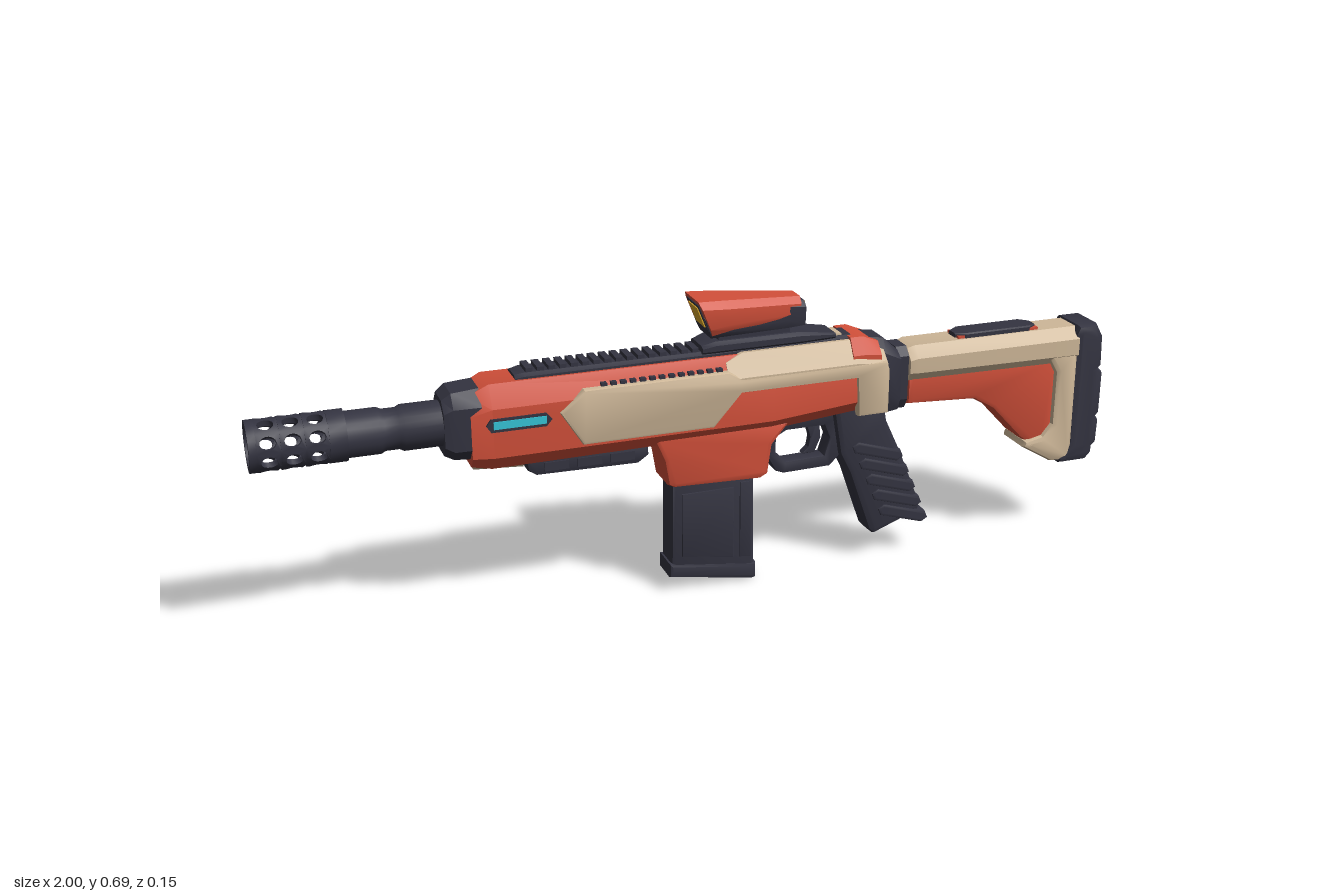
import * as THREE from 'three';
import { toCreasedNormals, mergeGeometries } from 'three/addons/utils/BufferGeometryUtils.js';

const paint = (name, color) => Object.assign(new THREE.MeshStandardMaterial({ color }), { name });

export function createModel() {
  const model = new THREE.Group();
  model.name = 'toyBlaster';
  const orange = paint('orange', 0xd2503a);
  const beige = paint('beige', 0xcfb899);
  const dark = paint('charcoal', 0x343441);
  const cyan = paint('cyan', 0x35c3d6);
  const yellow = paint('amber', 0xdba92c);

  const add = (name, geo, mat, x = 0, y = 0, z = 0) => {
    const mesh = new THREE.Mesh(geo, mat);
    mesh.name = name;
    mesh.position.set(x, y, z);
    model.add(mesh);
    return mesh;
  };
  const box = (name, mat, x0, x1, y0, y1, halfZ, z = 0) =>
    add(name, new THREE.BoxGeometry(x1 - x0, y1 - y0, halfZ * 2), mat, (x0 + x1) / 2, (y0 + y1) / 2, z);

  // Side outline given thickness in z, with chamfered edges and optional hole
  const plate = (name, mat, outline, halfZ, bevel, z = 0, hole) => {
    const toV = (p) => new THREE.Vector2(p[0], p[1]);
    const shape = new THREE.Shape(outline.map(toV));
    if (hole) shape.holes.push(new THREE.Path(hole.map(toV)));
    const geo = new THREE.ExtrudeGeometry(shape, {
      depth: 2 * (halfZ - bevel), bevelEnabled: bevel > 0, bevelThickness: bevel,
      bevelSize: bevel, bevelOffset: -bevel, bevelSegments: 2,
    });
    geo.translate(0, 0, bevel - halfZ);
    return add(name, toCreasedNormals(geo, 0.6), mat, 0, 0, z);
  };

  // Eight-sided sections along x: [x, top, shoulder, low, bottom, topW, midW, bottomW, lean]
  const loft = (name, mat, stations) => {
    const pos = [], idx = [];
    for (const [x, t, s, l, b, wt, wm, wb, lean = 0] of stations) {
      const half = [[wt, t], [wm, s], [wm, l], [wb, b]];
      const ring = [...half, ...half.map(([z, y]) => [-z, y]).reverse()];
      ring.forEach(([z, y]) => pos.push(x - lean * (y - b), y, z));
    }
    const last = (stations.length - 1) * 8;
    for (let i = 0; i < last; i += 8) {
      for (let j = 0; j < 8; j++) {
        const a = i + j, b = i + (j + 1) % 8;
        idx.push(a, b, b + 8, a, b + 8, a + 8);
      }
    }
    for (let j = 1; j < 7; j++) idx.push(0, j + 1, j, last, last + j, last + j + 1);
    const geo = new THREE.BufferGeometry();
    geo.setAttribute('position', new THREE.Float32BufferAttribute(pos, 3));
    geo.setIndex(idx);
    return add(name, toCreasedNormals(geo, 0.5), mat);
  };

  // Turned part along x from [radius, x] points
  const turned = (name, points) => {
    const geo = new THREE.LatheGeometry(points.map((p) => new THREE.Vector2(p[0], p[1])), 24);
    geo.rotateZ(-Math.PI / 2);
    return add(name, toCreasedNormals(geo, 0.6), dark, 0, 0.47, 0);
  };
  const ring = (name, x0, x1, ro, ri) => turned(name, [[ri, x0], [ro, x0], [ro, x1], [ri, x1], [ri, x0]]);

  // Barrel and perforated muzzle
  turned('barrel', [[0, -0.82], [0.05, -0.82], [0.05, -0.73], [0.045, -0.72], [0.045, -0.69],
    [0.05, -0.68], [0.05, -0.5], [0, -0.5]]);
  ring('muzzleLip', -1, -0.983, 0.056, 0.042);
  ring('muzzleBase', -0.837, -0.8, 0.056, 0.042);
  const cells = [], R = 0.056, wall = 0.013, hv = R * Math.PI / 8;
  for (let i = 0; i < 3; i++) {
    for (let k = 0; k < 8; k++) {
      const shape = new THREE.Shape([[-0.025, -hv], [0.025, -hv], [0.0255, 0], [0.025, hv], [-0.025, hv], [-0.0255, 0]]
        .map((p) => new THREE.Vector2(p[0], p[1])));
      shape.holes.push(new THREE.Path(new THREE.EllipseCurve(0, 0, 0.017, 0.0145).getPoints(14)));
      const geo = new THREE.ExtrudeGeometry(shape, { depth: wall, bevelEnabled: false });
      const p = geo.attributes.position;
      for (let n = 0; n < p.count; n++) {
        const a = (k + 0.5) * Math.PI / 4 + p.getY(n) / R, r = R - wall + p.getZ(n);
        p.setXYZ(n, -0.96 + i * 0.05 + p.getX(n), r * Math.cos(a), -r * Math.sin(a));
      }
      cells.push(geo);
    }
  }
  add('muzzleVents', toCreasedNormals(mergeGeometries(cells), 0.7), dark, 0, 0.47, 0);

  // Main body
  loft('frontCollar', dark, [
    [-0.6, 0.53, 0.505, 0.43, 0.405, 0.03, 0.052, 0.03],
    [-0.58, 0.545, 0.515, 0.42, 0.395, 0.035, 0.058, 0.035],
    [-0.52, 0.55, 0.515, 0.42, 0.39, 0.035, 0.06, 0.035]]);
  loft('bodyShell', orange, [
    [-0.545, 0.535, 0.495, 0.4, 0.375, 0.038, 0.06, 0.04],
    [-0.5, 0.558, 0.51, 0.4, 0.366, 0.042, 0.07, 0.042],
    [0.14, 0.558, 0.51, 0.4, 0.37, 0.042, 0.068, 0.042],
    [0.36, 0.558, 0.51, 0.42, 0.39, 0.042, 0.068, 0.042],
    [0.4, 0.55, 0.505, 0.42, 0.39, 0.04, 0.066, 0.042]]);
  loft('chinBlock', beige, [
    [-0.54, 0.385, 0.383, 0.375, 0.366, 0.03, 0.04, 0.032],
    [-0.43, 0.385, 0.383, 0.37, 0.358, 0.03, 0.04, 0.032]]);
  loft('upperCover', beige, [
    [0.03, 0.545, 0.511, 0.49, 0.48, 0.05, 0.073, 0.06],
    [0.07, 0.562, 0.513, 0.49, 0.48, 0.045, 0.074, 0.06],
    [0.34, 0.562, 0.513, 0.49, 0.48, 0.045, 0.074, 0.06],
    [0.415, 0.53, 0.505, 0.49, 0.48, 0.045, 0.072, 0.06]]);
  loft('rearBand', orange, [
    [0.33, 0.568, 0.53, 0.52, 0.5, 0.047, 0.068, 0.05],
    [0.36, 0.568, 0.53, 0.52, 0.5, 0.047, 0.068, 0.05],
    [0.4, 0.552, 0.525, 0.51, 0.5, 0.045, 0.068, 0.05]]);
  loft('rearBlock', dark, [
    [0.36, 0.562, 0.53, 0.42, 0.375, 0.03, 0.046, 0.035],
    [0.42, 0.553, 0.52, 0.42, 0.37, 0.03, 0.05, 0.035],
    [0.462, 0.515, 0.5, 0.4, 0.375, 0.03, 0.045, 0.035]]);
  loft('stockJoint', dark, [
    [0.455, 0.525, 0.505, 0.4, 0.375, 0.025, 0.042, 0.028],
    [0.482, 0.525, 0.505, 0.4, 0.375, 0.025, 0.042, 0.028]]);

  for (const s of [1, -1]) {
    plate('sidePanel', beige, [[-0.355, 0.485], [-0.3, 0.53], [0.03, 0.53], [0.06, 0.511], [0.412, 0.511],
      [0.42, 0.49], [0.42, 0.385], [0.345, 0.385], [0.34, 0.478], [0.06, 0.478], [-0.005, 0.405], [-0.305, 0.405]],
    0.014, 0.007, s * 0.062);
    plate('lightFrame', dark, [[-0.515, 0.475], [-0.505, 0.49], [-0.385, 0.49], [-0.372, 0.475], [-0.385, 0.46],
      [-0.505, 0.46]], 0.003, 0, s * 0.07);
    box('lightStrip', cyan, -0.5, -0.385, 0.467, 0.484, 0.0025, s * 0.073);
    // Slatted vent above each side panel
    for (let i = 0; i < 13; i++) {
      const x = -0.26 + i * 0.022;
      box('ventSlat', dark, x, x + 0.013, 0.531, 0.538, 0.006, s * 0.059);
    }
  }

  // Top and bottom rails
  loft('topRail', dark, [
    [-0.44, 0.565, 0.56, 0.55, 0.545, 0.022, 0.034, 0.034],
    [-0.42, 0.569, 0.563, 0.55, 0.545, 0.026, 0.036, 0.036],
    [0.34, 0.569, 0.563, 0.55, 0.545, 0.026, 0.036, 0.036]]);
  for (let i = 0; i < 17; i++) box('railTooth', dark, -0.415 + i * 0.025, -0.4 + i * 0.025, 0.566, 0.578, 0.026);
  plate('lowerRail', dark, [[-0.425, 0.375], [-0.42, 0.345], [-0.4, 0.332], [-0.17, 0.328], [-0.145, 0.345],
    [-0.145, 0.375]], 0.036, 0.008);
  for (let i = 0; i < 3; i++) {
    box('lowerRailPad', dark, -0.385 + i * 0.075, -0.33 + i * 0.075, 0.342, 0.362, 0.04);
  }

  // Magazine and its well
  plate('magazineWell', orange, [[-0.14, 0.39], [-0.115, 0.33], [-0.105, 0.27], [-0.09, 0.262], [0.115, 0.255],
    [0.135, 0.265], [0.145, 0.335], [0.19, 0.39]], 0.052, 0.012);
  plate('magazine', dark, [[-0.092, 0.3], [0.105, 0.3], [0.108, 0.02], [-0.095, 0.05]], 0.037, 0.01);
  plate('magazineBase', dark, [[-0.1, 0.07], [0.112, 0.04], [0.112, 0.003], [0.1, 0], [-0.1, 0.036]], 0.04, 0.008);
  for (const s of [1, -1]) {
    plate('magazineRib', dark, [[-0.07, 0.24], [0.055, 0.24], [0.055, 0.065], [-0.07, 0.085]], 0.004, 0.002, s * 0.037);
    plate('magazineEdge', dark, [[0.07, 0.25], [0.098, 0.25], [0.098, 0.06], [0.07, 0.063]], 0.004, 0.002, s * 0.037);
  }

  // Trigger group and grip
  plate('triggerGuard', dark, [[0.14, 0.4], [0.14, 0.3], [0.165, 0.256], [0.185, 0.248], [0.3, 0.25], [0.33, 0.28],
    [0.38, 0.4]], 0.022, 0.005, 0,
  [[0.165, 0.34], [0.19, 0.353], [0.285, 0.353], [0.298, 0.32], [0.285, 0.278], [0.19, 0.276], [0.165, 0.3]]);
  plate('trigger', dark, [[0.24, 0.37], [0.275, 0.37], [0.28, 0.32], [0.265, 0.285], [0.235, 0.285], [0.25, 0.3],
    [0.254, 0.325]], 0.01, 0.002);
  plate('grip', dark, [[0.3, 0.4], [0.43, 0.4], [0.44, 0.345], [0.48, 0.26], [0.535, 0.125], [0.53, 0.105],
    [0.415, 0.062], [0.4, 0.075], [0.345, 0.23], [0.32, 0.28]], 0.036, 0.014);
  for (let i = 0; i < 5; i++) {
    const t = i * 0.042, x = 0.417 + t * 0.43, y = 0.275 - t;
    const rib = plate('gripRib', dark, [[-0.072, 0], [-0.06, 0.015], [0.055, 0.015], [0.068, 0], [0.055, -0.015],
      [-0.06, -0.015]], 0.04, 0.007);
    rib.position.set(x, y, 0);
    rib.rotation.z = -0.3;
  }

  // Shoulder stock
  loft('stockTube', beige, [
    [0.482, 0.52, 0.495, 0.465, 0.445, 0.03, 0.053, 0.04],
    [0.5, 0.526, 0.5, 0.465, 0.445, 0.033, 0.056, 0.042],
    [0.925, 0.526, 0.5, 0.46, 0.44, 0.033, 0.056, 0.042]]);
  plate('stockWeb', orange, [[0.484, 0.46], [0.88, 0.46], [0.88, 0.225], [0.84, 0.225], [0.79, 0.26], [0.71, 0.345],
    [0.66, 0.375], [0.484, 0.385]], 0.043, 0.012);
  plate('stockPost', beige, [[0.835, 0.48], [0.93, 0.48], [0.93, 0.188], [0.875, 0.19], [0.795, 0.238],
    [0.8, 0.252], [0.845, 0.262], [0.868, 0.29], [0.868, 0.42]], 0.055, 0.014);
  plate('buttPad', dark, [[0.915, 0.51], [0.925, 0.53], [0.975, 0.53], [0.992, 0.5], [0.995, 0.425], [0.988, 0.417],
    [1, 0.407], [1, 0.303], [0.992, 0.294], [1, 0.285], [0.998, 0.225], [0.988, 0.217], [0.987, 0.2], [0.97, 0.182],
    [0.9, 0.182], [0.893, 0.197], [0.92, 0.23]], 0.057, 0.016);
  box('cheekTrim', orange, 0.615, 0.825, 0.52, 0.532, 0.027);
  loft('cheekPad', dark, [
    [0.612, 0.536, 0.534, 0.53, 0.525, 0.012, 0.015, 0.015],
    [0.635, 0.538, 0.535, 0.531, 0.525, 0.026, 0.029, 0.029],
    [0.8, 0.538, 0.535, 0.531, 0.525, 0.026, 0.029, 0.029],
    [0.823, 0.536, 0.534, 0.53, 0.525, 0.012, 0.015, 0.015]]);

  // Sight and mount
  loft('sightMount', dark, [
    [-0.02, 0.583, 0.578, 0.57, 0.565, 0.03, 0.04, 0.035],
    [0.01, 0.592, 0.585, 0.572, 0.565, 0.036, 0.046, 0.036],
    [0.21, 0.592, 0.585, 0.572, 0.565, 0.036, 0.046, 0.036],
    [0.3, 0.578, 0.575, 0.57, 0.565, 0.03, 0.035, 0.03]]);
  box('railEnd', beige, 0.3, 0.318, 0.56, 0.573, 0.024);
  box('sightNeck', dark, 0.02, 0.19, 0.585, 0.612, 0.029);
  loft('sightCore', dark, [
    [0.0, 0.66, 0.645, 0.615, 0.6, 0.03, 0.046, 0.035, 0.35],
    [0.19, 0.668, 0.652, 0.62, 0.603, 0.024, 0.036, 0.032],
    [0.226, 0.66, 0.648, 0.622, 0.605, 0.022, 0.034, 0.03]]);
  loft('sightHood', orange, [
    [0.0, 0.688, 0.672, 0.625, 0.608, 0.044, 0.055, 0.045, 0.4],
    [0.05, 0.685, 0.668, 0.632, 0.618, 0.04, 0.053, 0.046, 0.3],
    [0.215, 0.671, 0.656, 0.635, 0.625, 0.022, 0.033, 0.03]]);
  const lens = (name, mat, x, y, h, w, tilt) => {
    add(name, new THREE.BoxGeometry(0.004, h, w), mat, x, y, 0).rotation.z = tilt;
  };
  lens('frontLensFrame', dark, -0.0165, 0.648, 0.066, 0.078, 0.38);
  lens('frontLens', yellow, -0.019, 0.648, 0.05, 0.056, 0.38);
  lens('rearLens', yellow, 0.226, 0.637, 0.042, 0.04, 0);

  return model;
}
